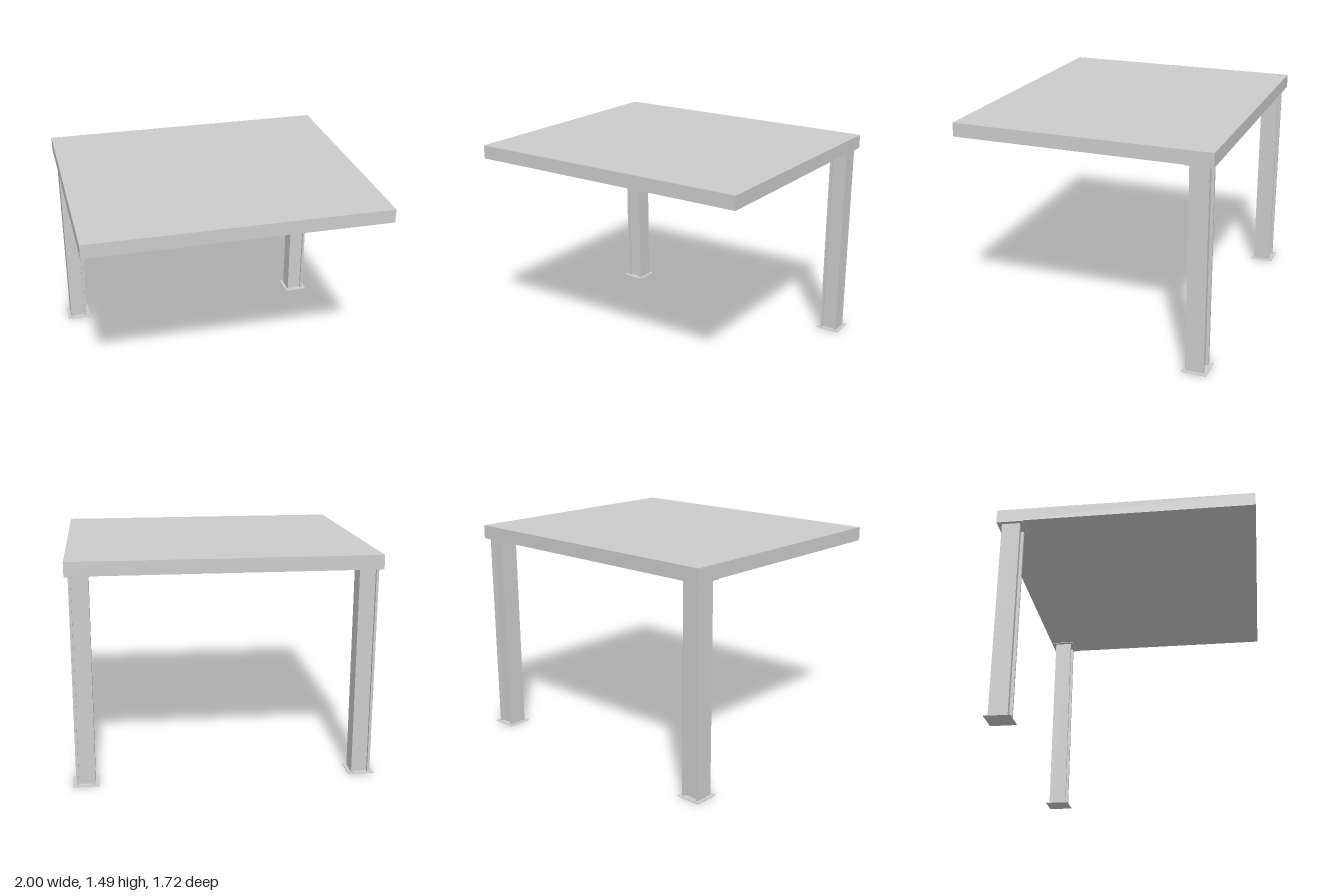
import * as THREE from 'three';

export function createModel() {
  const group = new THREE.Group();
  const material = new THREE.MeshStandardMaterial({ color: 0xcccccc, flatShading: true });

  const box = (parent, name, w, h, d, x, y, z) => {
    const mesh = new THREE.Mesh(new THREE.BoxGeometry(w, h, d), material);
    mesh.name = name;
    mesh.position.set(x, y, z);
    parent.add(mesh);
  };

  const under = 1.395; // underside of the roof slab
  const top = 1.487;
  const size = 0.125; // column section
  const flange = 0.016;
  const recess = 0.02;
  const plate = 0.004;

  // Roof slab, cantilevered forward from the columns
  box(group, 'roofSlab', 2, top - under, 1.724, 0, (top + under) / 2, 0);

  // Pair of steel columns near the back edge
  for (const side of [-1, 1]) {
    const column = new THREE.Group();
    column.name = side > 0 ? 'leftColumn' : 'rightColumn';
    column.position.set(side * 0.914, 0, -0.767);
    group.add(column);

    // Side flanges with a recessed core between them
    for (const s of [-1, 1]) {
      box(column, 'flange', flange, under, size, s * (size - flange) / 2, under / 2, 0);
    }
    box(column, 'core', size - 2 * flange, under, size - 2 * recess, 0, under / 2, 0);

    // Thin plates at the foot and the head
    box(column, 'basePlate', 0.172, plate, 0.17, 0, plate / 2, 0);
    box(column, 'headPlate', 0.172, plate, 0.17, 0, under - plate / 2, 0);
  }

  return group;
}
